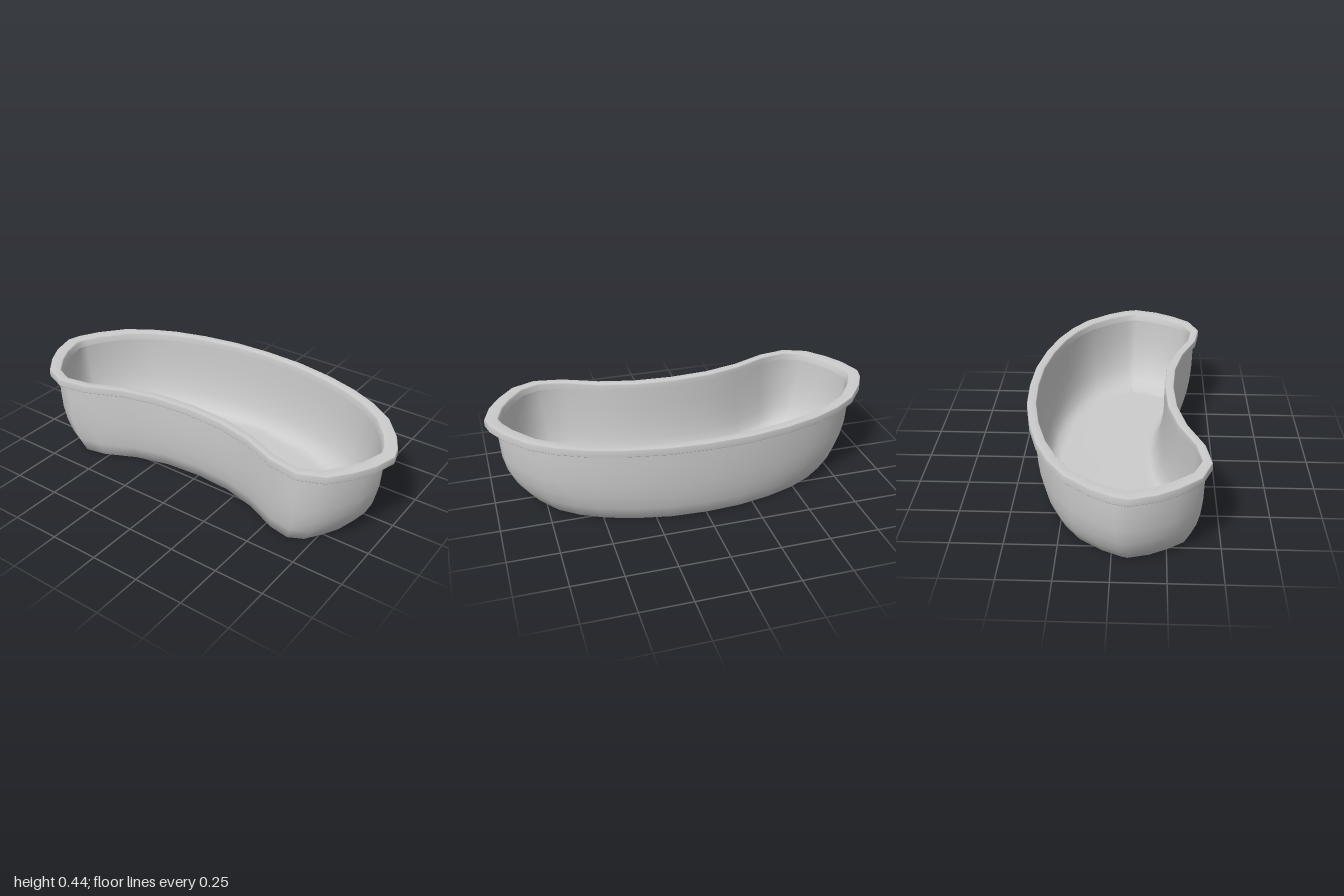
import * as THREE from 'three';

// Half outline of the kidney-shaped rim (x, z), back centre to front centre
const HALF = [
  [0, -0.446], [0.2, -0.437], [0.4, -0.402], [0.57, -0.352], [0.71, -0.288], [0.83, -0.206],
  [0.93, -0.085], [0.982, 0.01], [1, 0.08], [0.965, 0.2], [0.91, 0.295], [0.83, 0.392],
  [0.71, 0.442], [0.56, 0.418], [0.38, 0.342], [0.2, 0.299], [0, 0.286],
];
const OUTLINE = [...HALF, ...HALF.slice(1, -1).reverse().map(([x, z]) => [-x, z])];
const N = OUTLINE.length;

// Outline moved inwards by inset and narrowed in x
function ring([inset, scaleX, y]) {
  return OUTLINE.map(([x, z], i) => {
    const [px, pz] = OUTLINE[(i + N - 1) % N];
    const [nx, nz] = OUTLINE[(i + 1) % N];
    const length = Math.hypot(nx - px, nz - pz);
    return [
      x * scaleX - ((nz - pz) / length) * inset,
      y,
      z + ((nx - px) / length) * inset,
    ];
  });
}

// Skin over a list of rings; the ends may be closed with a flat cap
function loft(name, profile, material, capped) {
  const rings = profile.map(ring);
  const index = [];
  for (let r = 0; r < rings.length - 1; r++) {
    for (let i = 0; i < N; i++) {
      const j = (i + 1) % N;
      const a = r * N + i, b = r * N + j, c = a + N, d = b + N;
      index.push(a, c, b, b, c, d);
    }
  }
  const cap = (r, up) => {
    const pts = rings[r].map(([x, , z]) => new THREE.Vector2(x, z));
    for (const [a, b, c] of THREE.ShapeUtils.triangulateShape(pts, [])) {
      const area = THREE.ShapeUtils.area([pts[a], pts[b], pts[c]]);
      const facesUp = area < 0;
      index.push(...(facesUp === up ? [a, b, c] : [a, c, b]).map((k) => r * N + k));
    }
  };
  if (capped === 'first') cap(0, false);
  if (capped === 'last') cap(rings.length - 1, true);
  const geometry = new THREE.BufferGeometry();
  geometry.setAttribute('position', new THREE.Float32BufferAttribute(rings.flat(2), 3));
  geometry.setIndex(index);
  geometry.computeVertexNormals();
  const mesh = new THREE.Mesh(geometry, material);
  mesh.name = name;
  return mesh;
}

export function createModel() {
  const group = new THREE.Group();
  group.name = 'kidneyDish';
  const material = new THREE.MeshStandardMaterial({ color: 0xcccccc, side: THREE.DoubleSide });

  // Rows are [inset, x scale, height]
  // Underside and outer wall
  group.add(loft('outerShell', [
    [0.12, 0.87, 0], [0.075, 0.905, 0], [0.053, 0.935, 0.07], [0.04, 0.955, 0.14],
    [0.032, 0.966, 0.22], [0.029, 0.97, 0.32], [0.029, 0.97, 0.402],
  ], material, 'first'));

  // Raised lip around the top
  group.add(loft('rim', [
    [0.029, 0.97, 0.4], [0.002, 1, 0.4], [0, 1, 0.403], [0, 1, 0.434],
    [0.004, 1, 0.438], [0.042, 0.98, 0.438], [0.046, 0.976, 0.43], [0.047, 0.97, 0.4],
  ], material));

  // Inner wall running down through a fillet to the floor
  group.add(loft('innerShell', [
    [0.047, 0.97, 0.402], [0.048, 0.965, 0.3], [0.055, 0.955, 0.2], [0.068, 0.935, 0.11],
    [0.09, 0.91, 0.055], [0.115, 0.885, 0.03], [0.145, 0.865, 0.02],
  ], material, 'last'));

  return group;
}
